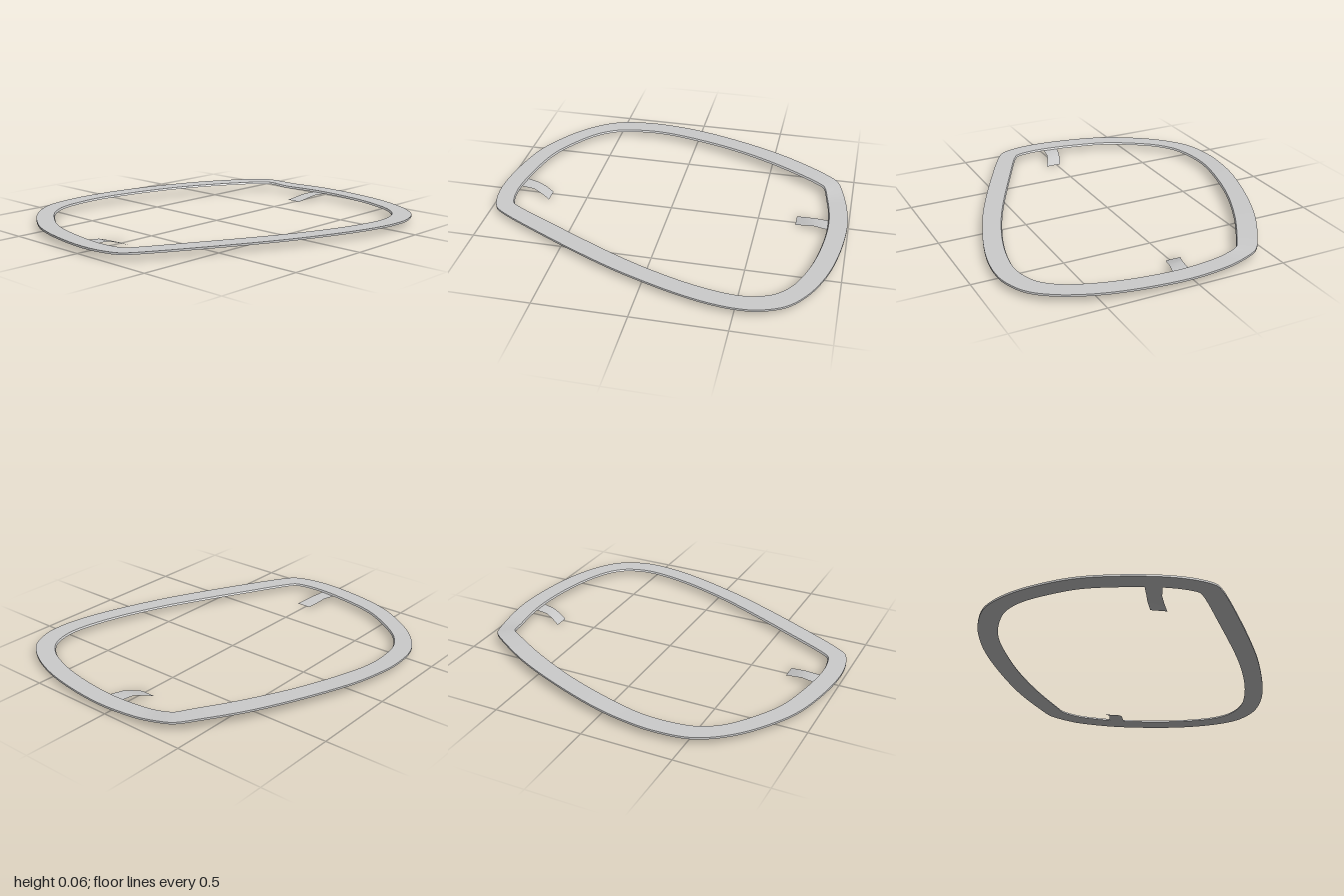
import * as THREE from 'three';
import { toCreasedNormals } from 'three/addons/utils/BufferGeometryUtils.js';

// Matching outer and inner outline points (x, z), anticlockwise from the back left corner
const OUTER = [
  [0.9, -0.4], [0.86, -0.435], [0.6, -0.6], [0.3, -0.735], [0, -0.835], [-0.2, -0.872], [-0.33, -0.88],
  [-0.5, -0.86], [-0.6, -0.815], [-0.72, -0.715], [-0.83, -0.57], [-0.91, -0.42], [-0.965, -0.22], [-0.995, 0.02],
  [-0.985, 0.16], [-0.955, 0.255], [-0.925, 0.29], [-0.6, 0.475], [-0.2, 0.672], [0, 0.752], [0.2, 0.82],
  [0.37, 0.862], [0.51, 0.877], [0.62, 0.867], [0.75, 0.81], [0.84, 0.705], [0.92, 0.53], [0.97, 0.32],
  [0.995, 0.06], [0.985, -0.1], [0.96, -0.24], [0.92, -0.37],
];
const INNER = [
  [0.825, -0.325], [0.79, -0.35], [0.55, -0.495], [0.26, -0.632], [-0.03, -0.727], [-0.2, -0.765], [-0.32, -0.772],
  [-0.47, -0.755], [-0.54, -0.73], [-0.63, -0.665], [-0.73, -0.535], [-0.81, -0.39], [-0.86, -0.2], [-0.89, 0.02],
  [-0.885, 0.13], [-0.87, 0.19], [-0.855, 0.21], [-0.55, 0.375], [-0.16, 0.57], [0.03, 0.65], [0.22, 0.715],
  [0.38, 0.753], [0.5, 0.767], [0.59, 0.757], [0.68, 0.72], [0.755, 0.64], [0.82, 0.49], [0.865, 0.3],
  [0.888, 0.06], [0.878, -0.1], [0.858, -0.22], [0.84, -0.3],
];
const BOTTOM = 0.033, TOP = 0.044;

const loop = (pts) => new THREE.CatmullRomCurve3(
  pts.map(([x, z]) => new THREE.Vector3(x, 0, z)), true, 'centripetal');

// The back left stretch of the ring bows gently upward
const bow = ({ x, z }) => 0.02 * THREE.MathUtils.smoothstep(x, -0.7, 0.55)
  * THREE.MathUtils.smoothstep(-z, 0.18, 0.45);

// Builds a surface from rows of points; closed joins rows and columns around
function skin(rows, closed) {
  const n = rows[0].length, pos = [], index = [];
  rows.forEach((row) => row.forEach((p) => pos.push(p.x, p.y, p.z)));
  const R = closed ? rows.length : rows.length - 1, C = closed ? n : n - 1;
  for (let i = 0; i < R; i++) {
    for (let k = 0; k < C; k++) {
      const j = (i + 1) % rows.length, m = (k + 1) % n;
      const a = i * n + k, b = j * n + k, c = j * n + m, d = i * n + m;
      index.push(a, b, d, b, c, d);
    }
  }
  const g = new THREE.BufferGeometry();
  g.setAttribute('position', new THREE.Float32BufferAttribute(pos, 3));
  g.setIndex(index);
  return toCreasedNormals(g, 0.6);
}

export function createModel() {
  const group = new THREE.Group();
  const material = new THREE.MeshStandardMaterial({ color: 0xcccccc, side: THREE.DoubleSide });

  // Flat ring: a thin section, slightly tapered on the inside, swept round the outline
  const outer = loop(OUTER), inner = loop(INNER), rows = [], steps = OUTER.length * 5;
  for (let i = 0; i < steps; i++) {
    const o = outer.getPoint(i / steps), n = inner.getPoint(i / steps);
    const h = bow(o.clone().lerp(n, 0.5));
    const at = (t, y) => o.clone().lerp(n, t).setY(y + h);
    rows.push([at(0, BOTTOM), at(0, TOP), at(0.95, TOP), at(1, BOTTOM)]);
  }
  const ring = new THREE.Mesh(skin(rows, true), material);
  ring.name = 'ring';
  group.add(ring);

  // Two thin tabs bent down toward the middle, one the half turn of the other
  const tab = [ // x, y, back z, front z
    [0.93, 0.033, 0, 0.09], [0.88, 0.033, -0.01, 0.08], [0.81, 0.031, -0.02, 0.06],
    [0.76, 0.017, -0.04, 0.045], [0.71, 0, -0.065, 0.022],
  ].map(([x, y, z0, z1]) => [new THREE.Vector3(x, y, z0), new THREE.Vector3(x, y, z1)]);
  const tabGeometry = skin(tab, false);
  ['leftTab', 'rightTab'].forEach((name, i) => {
    const mesh = new THREE.Mesh(tabGeometry, material);
    mesh.name = name;
    mesh.rotation.y = i * Math.PI;
    group.add(mesh);
  });
  return group;
}
